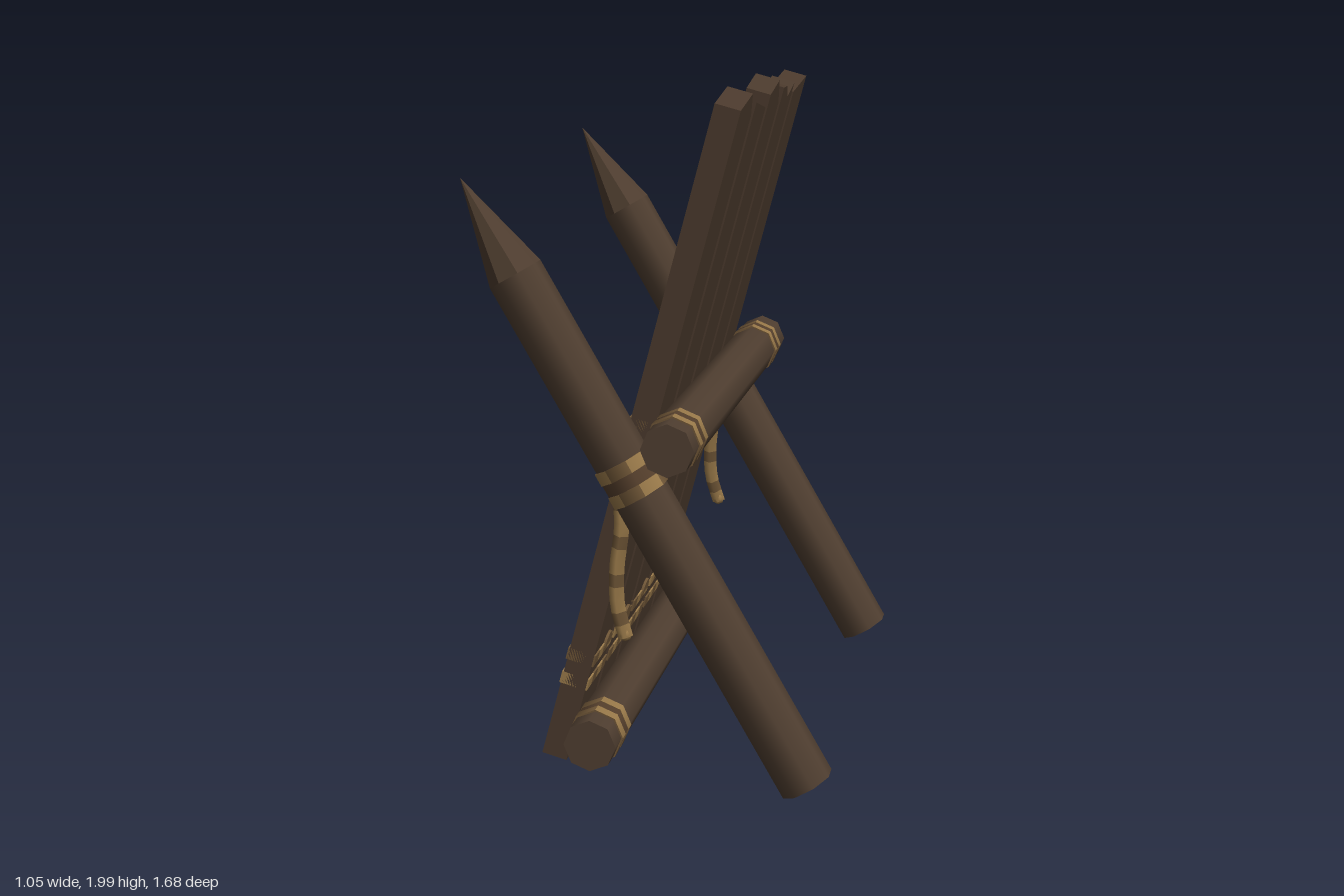
import * as THREE from 'three';

const mat = (name, color, extra = {}) => {
  const m = new THREE.MeshStandardMaterial({ color, ...extra });
  m.name = name;
  return m;
};

export function createModel() {
  const logWood = mat('log wood', 0x4f3e30);
  const plankWood = mat('plank wood', 0x4a392c);
  const rope = mat('rope', 0x9a7a4a);
  const darkRope = mat('dark rope', 0x6e5536);
  const ropeInner = mat('rope shadow strand', 0x553f2c);
  const model = new THREE.Group();
  model.name = 'plankBarricade';

  const add = (parent, name, geometry, material, x = 0, y = 0, z = 0) => {
    const mesh = new THREE.Mesh(geometry, material);
    mesh.name = name;
    mesh.position.set(x, y, z);
    parent.add(mesh);
    return mesh;
  };

  // Eight-sided rope ring whose facets alternate in tone
  const ring = (radius, width, turn, inner) => {
    const g = new THREE.CylinderGeometry(radius, radius, width, 8);
    g.rotateY(turn);
    g.clearGroups();
    for (let i = 0; i < 8; i++) g.addGroup(i * 6, 6, inner ? 2 : i % 3 === 1 ? 1 : 0);
    g.addGroup(48, 48, 1);
    return g;
  };
  const ropeSet = [rope, darkRope, ropeInner];

  // Leaning planks, each with its own broken top: [z, length] points
  const T = 0.075;
  const panel = new THREE.Group();
  panel.name = 'plankPanel';
  panel.position.set(-0.302, 0.042, 0);
  panel.rotation.z = -Math.PI / 12;
  model.add(panel);
  const planks = [
    [[0.42, 1.945], [0.5, 2.016], [0.65, 1.98]],
    [[0.155, 1.945], [0.38, 1.98]],
    [[-0.115, 1.935], [0, 2.016], [0.115, 1.98]],
    [[-0.38, 1.98], [-0.3, 1.94], [-0.22, 1.98], [-0.155, 1.98]],
    [[-0.65, 1.98], [-0.42, 1.945]],
  ];
  planks.forEach((top, p) => {
    const z0 = top[0][0], z1 = top[top.length - 1][0], w = z1 - z0;
    const shape = new THREE.Shape([[z0, 0], [z1, 0], ...[...top].reverse()]
      .map(([a, b]) => new THREE.Vector2(a, b)));
    const g = new THREE.ExtrudeGeometry(shape, { depth: T, bevelEnabled: false });
    g.rotateY(-Math.PI / 2);
    g.translate(T / 2, 0, 0);
    add(panel, 'plank', g, plankWood);

    // Rope wraps around the plank, in alternating strands
    [0.246, 0.322, 0.97, 1.043].forEach((s, row) => {
      const n = 4;
      for (let i = 0; i < n; i++) {
        const band = new THREE.BoxGeometry(T + 0.01, 0.036, w / n);
        add(panel, 'plankRope', band, (i + row + p) % 2 ? rope : darkRope,
          0, s, z0 + (i + 0.5) * w / n);
      }
    });

    // Loose rope bump above the lower wrap
    const bump = new THREE.CylinderGeometry(0.042, 0.042, 0.008, 6, 1, false, 0, Math.PI);
    bump.rotateZ(Math.PI / 2);
    add(panel, 'ropeBump', bump, darkRope, T / 2 + 0.004, 0.325, z0 + w * (p % 2 ? 0.35 : 0.3));
  });

  // Horizontal rails with rope at both ends
  [[0.077, 1.03], [-0.15, 0.157]].forEach(([x, y]) => {
    const rail = new THREE.Group();
    rail.name = 'rail';
    rail.position.set(x, y, 0);
    rail.rotation.x = Math.PI / 2;
    model.add(rail);
    add(rail, 'railLog', new THREE.CylinderGeometry(0.076, 0.076, 1.68, 8), logWood);
    [0.69 + 0.017, -0.67].forEach((z) => [-1, 0, 1].forEach((k) =>
      add(rail, 'railRope', ring(k ? 0.081 : 0.079, 0.038, 0, !k), ropeSet, 0, z + k * 0.038)));
  });

  // Sharpened stakes crossing the panel at each end
  for (const side of [1, -1]) {
    const stake = new THREE.Group();
    stake.name = 'stake';
    stake.position.set(0.46, 0.043, side * 0.725);
    stake.rotation.z = Math.PI / 6;
    model.add(stake);
    const turn = Math.PI / 8, shaft = 1.67, tipLength = 0.306;
    const log = new THREE.CylinderGeometry(0.081, 0.081, shaft, 8);
    log.rotateY(turn);
    add(stake, 'stakeLog', log, logWood, 0, shaft / 2);
    let tip = new THREE.ConeGeometry(0.081, tipLength, 8, 1, true);
    tip.rotateY(turn);
    tip = tip.toNonIndexed();
    tip.computeVertexNormals();
    add(stake, 'stakeTip', tip, logWood, 0, shaft + tipLength / 2);
    [-1, 0, 1].forEach((k) =>
      add(stake, 'stakeRope', ring(k ? 0.087 : 0.084, 0.038, turn, !k), ropeSet, 0, 1.015 + k * 0.038));

    // Hanging rope end, alternating along its length
    const curve = new THREE.CatmullRomCurve3([[-0.085, 0.9], [-0.075, 0.78], [-0.088, 0.66], [-0.085, 0.55], [-0.06, 0.46]]
      .map(([x, y], i) => new THREE.Vector3(x, y, side * (0.725 + i * 0.008))));
    const tail = new THREE.TubeGeometry(curve, 12, 0.022, 4, false);
    tail.clearGroups();
    for (let i = 0; i < 12; i++) tail.addGroup(i * 24, 24, i % 3 === 1 ? 1 : 0);
    add(model, 'ropeTail', tail, ropeSet);
    add(model, 'ropeTailEnd', new THREE.SphereGeometry(0.02, 6, 4), rope, -0.062, 0.468, side * 0.755);
  }
  return model;
}
